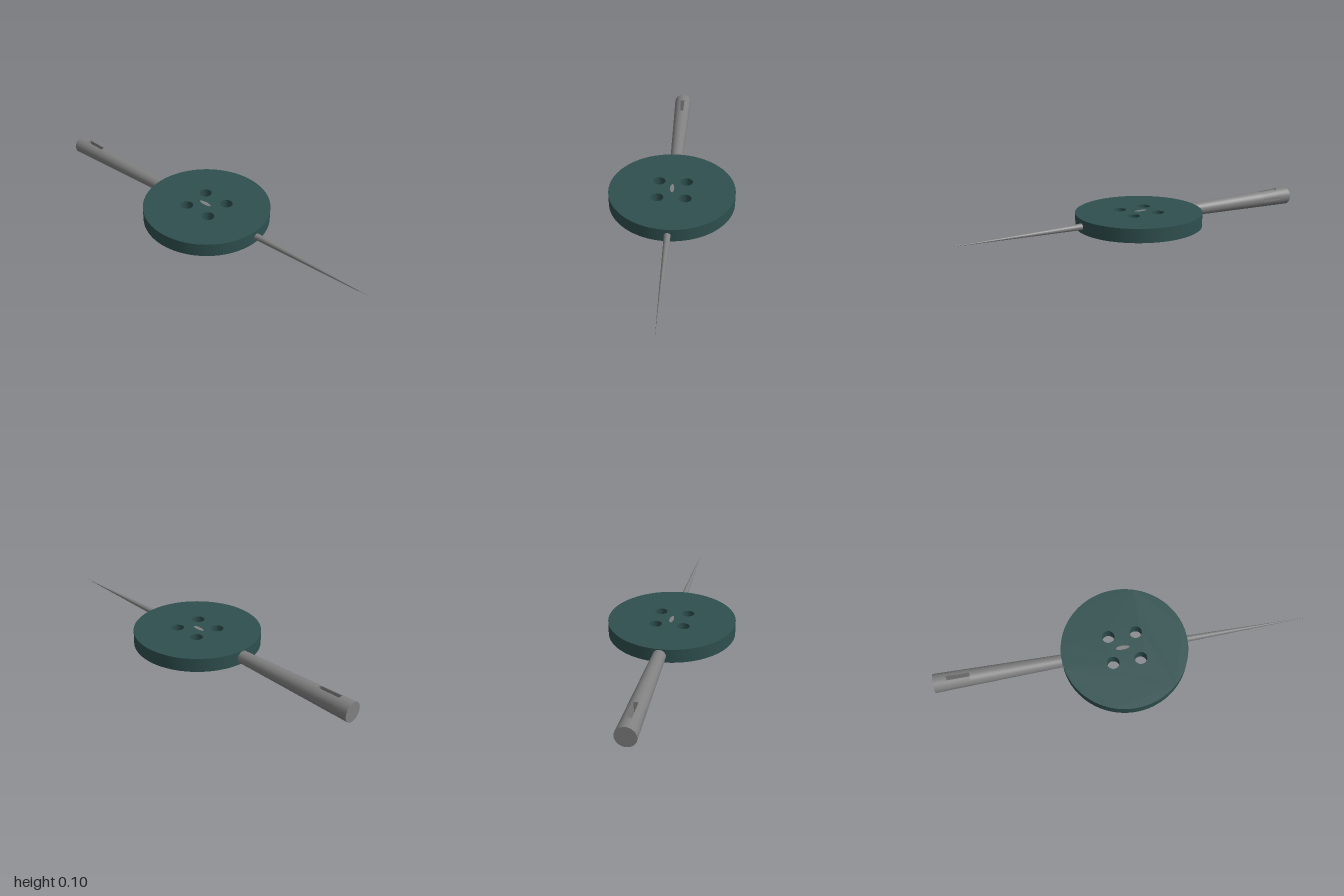
import * as THREE from 'three';
import { toCreasedNormals } from 'three/addons/utils/BufferGeometryUtils.js';

const AXIS_Y = 0.05;
// needle radius tapers evenly from the blunt end (x = -1) to the point (x = 1)
const radiusAt = (x) => Math.max(0.0003, 0.025 * (1 - x));

export function createModel() {
  const model = new THREE.Group();
  const green = new THREE.MeshStandardMaterial({ color: 0x2f4f4f });
  green.name = 'dark slate green';
  const steel = new THREE.MeshStandardMaterial({ color: 0x808080 });
  steel.name = 'steel grey';

  const add = (name, geometry, material, parent = model) => {
    const mesh = new THREE.Mesh(geometry, material);
    mesh.name = name;
    parent.add(mesh);
    return mesh;
  };

  // Button: disc with four thread holes
  const disc = new THREE.Shape().absarc(0, 0, 0.333, 0, Math.PI * 2);
  for (const x of [-0.073, 0.073]) {
    for (const z of [-0.073, 0.073]) {
      disc.holes.push(new THREE.Path().absarc(x, z, 0.033, 0, Math.PI * 2, true));
    }
  }
  const discGeometry = new THREE.ExtrudeGeometry(disc, { depth: 0.072, bevelEnabled: false, curveSegments: 48 });
  discGeometry.rotateX(-Math.PI / 2).translate(0, 0.015, 0);
  add('button', toCreasedNormals(discGeometry, 0.6), green);

  // Small sliver of steel showing at the middle of the button
  const sliver = add('buttonSliver', new THREE.CylinderGeometry(1, 1, 0.002, 24), steel);
  sliver.scale.set(0.036, 1, 0.011);
  sliver.position.set(-0.01, 0.0875, 0);

  // Needle: tapered solid lengths on both sides of the eye
  const needle = new THREE.Group();
  needle.name = 'needle';
  needle.position.y = AXIS_Y;
  model.add(needle);
  const eyeStart = -0.93, eyeEnd = -0.81, slot = 0.0115;
  const taper = (name, x0, x1) => {
    const g = new THREE.CylinderGeometry(radiusAt(x1), radiusAt(x0), x1 - x0, 32);
    g.rotateZ(-Math.PI / 2).translate((x0 + x1) / 2, 0, 0);
    add(name, g, steel, needle);
  };
  taper('needleHead', -1, eyeStart);
  taper('needleShaft', eyeEnd, 1);

  // Two D-shaped cheeks leave the eye open from top to bottom
  const r = radiusAt(eyeStart);
  const half = Math.acos(slot / r);
  for (const side of [1, -1]) {
    const mid = side > 0 ? 0 : Math.PI;
    const d = new THREE.Shape().absarc(0, 0, r, mid - half, mid + half);
    d.closePath();
    const g = new THREE.ExtrudeGeometry(d, { depth: eyeEnd - eyeStart, bevelEnabled: false, curveSegments: 14 });
    const p = g.attributes.position;
    for (let i = 0; i < p.count; i++) {
      const k = radiusAt(eyeStart + p.getZ(i)) / r;
      p.setXY(i, p.getX(i) * k, p.getY(i) * k);
    }
    g.rotateY(Math.PI / 2).translate(eyeStart, 0, 0);
    add(side > 0 ? 'eyeCheekBack' : 'eyeCheekFront', toCreasedNormals(g, 0.6), steel, needle);
  }
  return model;
}
